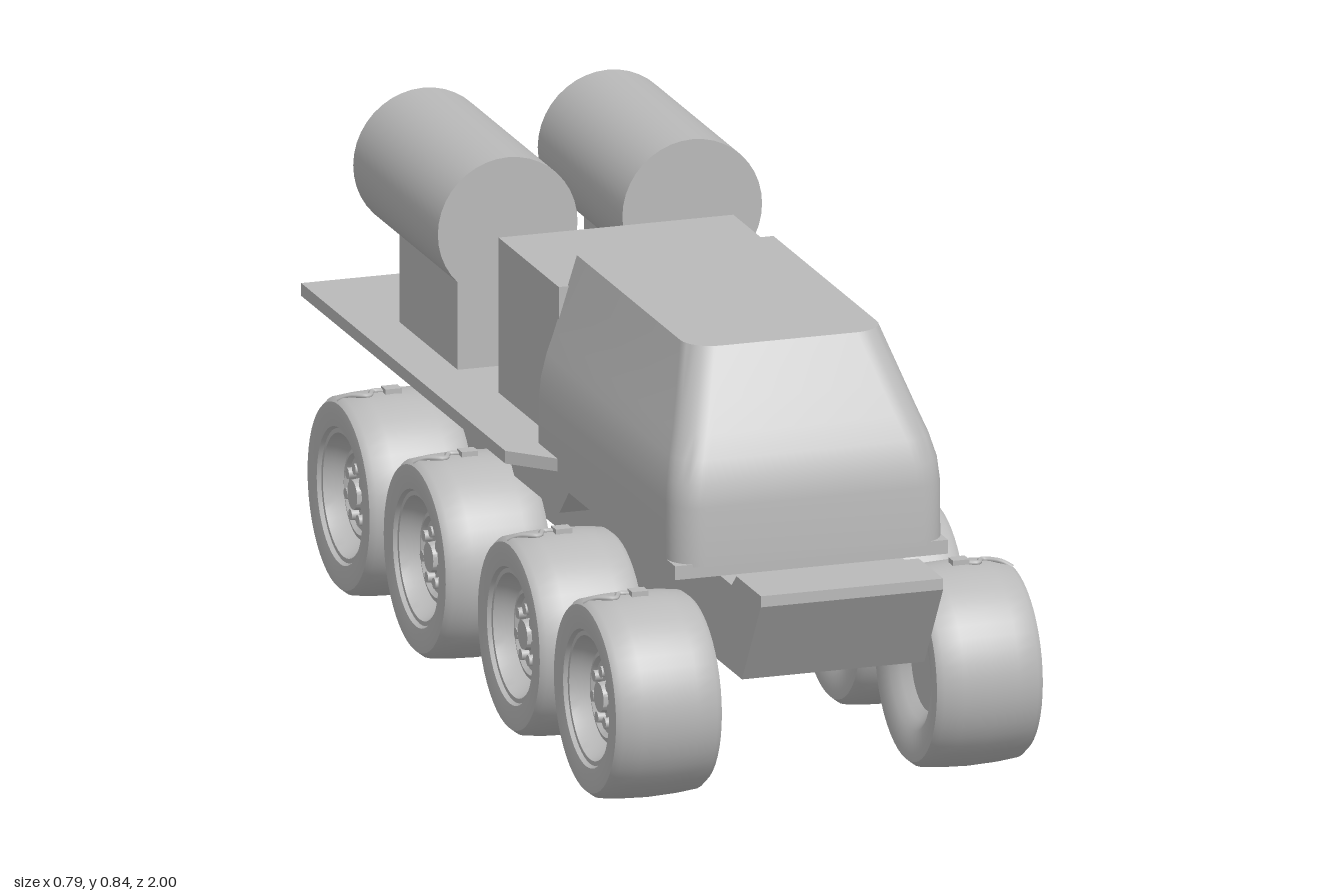
import * as THREE from 'three';
import { toCreasedNormals } from 'three/addons/utils/BufferGeometryUtils.js';

const paint = new THREE.MeshStandardMaterial({ color: 0xbababa });
paint.name = 'plain grey';

function add(parent, name, geometry, x = 0, y = 0, z = 0) {
  const mesh = new THREE.Mesh(geometry, paint);
  mesh.name = name;
  mesh.position.set(x, y, z);
  parent.add(mesh);
  return mesh;
}

const toShape = (points) => new THREE.Shape(points.map(([a, b]) => new THREE.Vector2(a, b)));

// Side profile of [z, y] points, extruded across the full width
function sideProfile(points, halfWidth) {
  const g = new THREE.ExtrudeGeometry(toShape(points), { depth: 2 * halfWidth, bevelEnabled: false });
  return g.translate(0, 0, -halfWidth).rotateY(-Math.PI / 2);
}

// Cab lofted from horizontal sections with rounded front corners: [y, half width, front z]
function cabGeometry() {
  const sections = [
    [0.425, 0.25, 0.79], [0.53, 0.25, 0.789], [0.57, 0.246, 0.784], [0.61, 0.236, 0.768],
    [0.65, 0.222, 0.746], [0.7, 0.206, 0.716], [0.783, 0.18, 0.664],
  ];
  const back = 0.06, radius = 0.055, steps = 8;
  const pos = [], index = [];
  for (const [y, w, front] of sections) {
    pos.push(w, y, back);
    for (const side of [1, -1]) {
      for (let i = 0; i <= steps; i++) {
        const t = (side > 0 ? i : steps - i) / steps * Math.PI / 2;
        pos.push(side * (w - radius + radius * Math.cos(t)), y, front - radius + radius * Math.sin(t));
      }
    }
    pos.push(-w, y, back);
  }
  const n = 2 * steps + 4;
  for (let j = 0; j < sections.length - 1; j++) {
    for (let i = 0; i < n; i++) {
      const a = j * n + i, b = j * n + (i + 1) % n;
      index.push(a, a + n, b, b, a + n, b + n);
    }
  }
  // Roof and floor caps
  const top = (sections.length - 1) * n;
  for (let i = 1; i < n - 1; i++) {
    index.push(top, top + i + 1, top + i);
    index.push(0, i, i + 1);
  }
  const g = new THREE.BufferGeometry();
  g.setAttribute('position', new THREE.Float32BufferAttribute(pos, 3));
  g.setIndex(index);
  return toCreasedNormals(g, 0.5);
}

// Wheel with its axle along x and its outer face towards +x
function makeWheel() {
  const wheel = new THREE.Group();
  wheel.name = 'wheel';
  const profile = [
    [0, -0.06], [0.08, -0.06], [0.095, -0.075], [0.112, -0.09], [0.15, -0.099], [0.165, -0.097],
    [0.174, -0.086], [0.178, -0.05], [0.18, 0], [0.178, 0.05], [0.174, 0.086], [0.165, 0.097],
    [0.15, 0.099], [0.122, 0.095], [0.118, 0.088], [0.11, 0.088], [0.104, 0.07], [0.092, 0.05],
    [0.084, 0.05], [0.08, 0.06], [0.072, 0.062], [0.066, 0.055], [0.028, 0.055], [0.026, 0.072], [0, 0.072],
  ].map(([r, a]) => new THREE.Vector2(r, a));
  const tire = new THREE.LatheGeometry(profile, 48).rotateZ(-Math.PI / 2);
  add(wheel, 'tireAndRim', toCreasedNormals(tire, 0.6));
  // Lug nuts
  for (let i = 0; i < 7; i++) {
    const a = i / 7 * Math.PI * 2 + Math.PI / 2;
    const nut = new THREE.CylinderGeometry(0.01, 0.01, 0.016, 12).rotateZ(-Math.PI / 2);
    add(wheel, 'lugNut', nut, 0.061, 0.046 * Math.sin(a), 0.046 * Math.cos(a));
  }
  // Hose clip over the top of the tire
  const path = new THREE.CatmullRomCurve3([
    [0, 0.18, 0], [0.03, 0.18, 0.012], [0.045, 0.179, -0.01], [0.075, 0.177, 0.008], [0.092, 0.168, 0.02],
  ].map((p) => new THREE.Vector3(...p)));
  add(wheel, 'hose', new THREE.TubeGeometry(path, 20, 0.005, 6));
  add(wheel, 'hoseClip', new THREE.BoxGeometry(0.03, 0.012, 0.025), 0, 0.182, 0);
  return wheel;
}

export function createModel() {
  const model = new THREE.Group();
  model.name = 'eightWheeledTruck';

  // Hull, its upper ledge and the wider section between the wheel pairs
  add(model, 'hull', sideProfile([
    [0.9, 0.25], [1, 0.408], [1, 0.428], [0.87, 0.428], [0.845, 0.405], [-0.86, 0.405], [-0.86, 0.355], [-0.76, 0.25],
  ], 0.167));
  add(model, 'hullLedge', new THREE.BoxGeometry(0.5, 0.025, 1.645), 0, 0.4175, -0.0375);
  add(model, 'hullMiddle', sideProfile([[0.245, 0.43], [0.17, 0.355], [-0.07, 0.355], [-0.145, 0.43]], 0.25));

  // Cargo deck with chamfered front corners
  const deck = new THREE.ExtrudeGeometry(toShape([
    [-0.32, -1], [0.32, -1], [0.32, 0.085], [0.25, 0.16], [-0.25, 0.16], [-0.32, 0.085],
  ]), { depth: 0.023, bevelEnabled: false }).rotateX(Math.PI / 2);
  add(model, 'deck', deck, 0, 0.45, 0);

  add(model, 'cab', cabGeometry());
  add(model, 'equipmentBox', new THREE.BoxGeometry(0.43, 0.285, 0.32), 0, 0.5875, -0.095);

  for (const side of [1, -1]) {
    // Tanks on pedestals
    const tank = toCreasedNormals(new THREE.CylinderGeometry(0.128, 0.128, 0.45, 40).rotateX(Math.PI / 2), 0.6);
    add(model, 'tank', tank, side * 0.169, 0.719, -0.565);
    add(model, 'tankPedestal', new THREE.BoxGeometry(0.135, 0.17, 0.31), side * 0.169, 0.53, -0.565);

    // Four wheels on each side
    for (const z of [0.715, 0.31, -0.19, -0.595]) {
      const wheel = makeWheel();
      wheel.position.set(side * 0.294, 0.185, z);
      if (side < 0) wheel.rotation.y = Math.PI;
      model.add(wheel);
      const axle = new THREE.CylinderGeometry(0.03, 0.03, 0.1, 16).rotateZ(Math.PI / 2);
      add(model, 'axle', axle, side * 0.19, 0.185, z).visible = false;
    }
  }
  return model;
}
